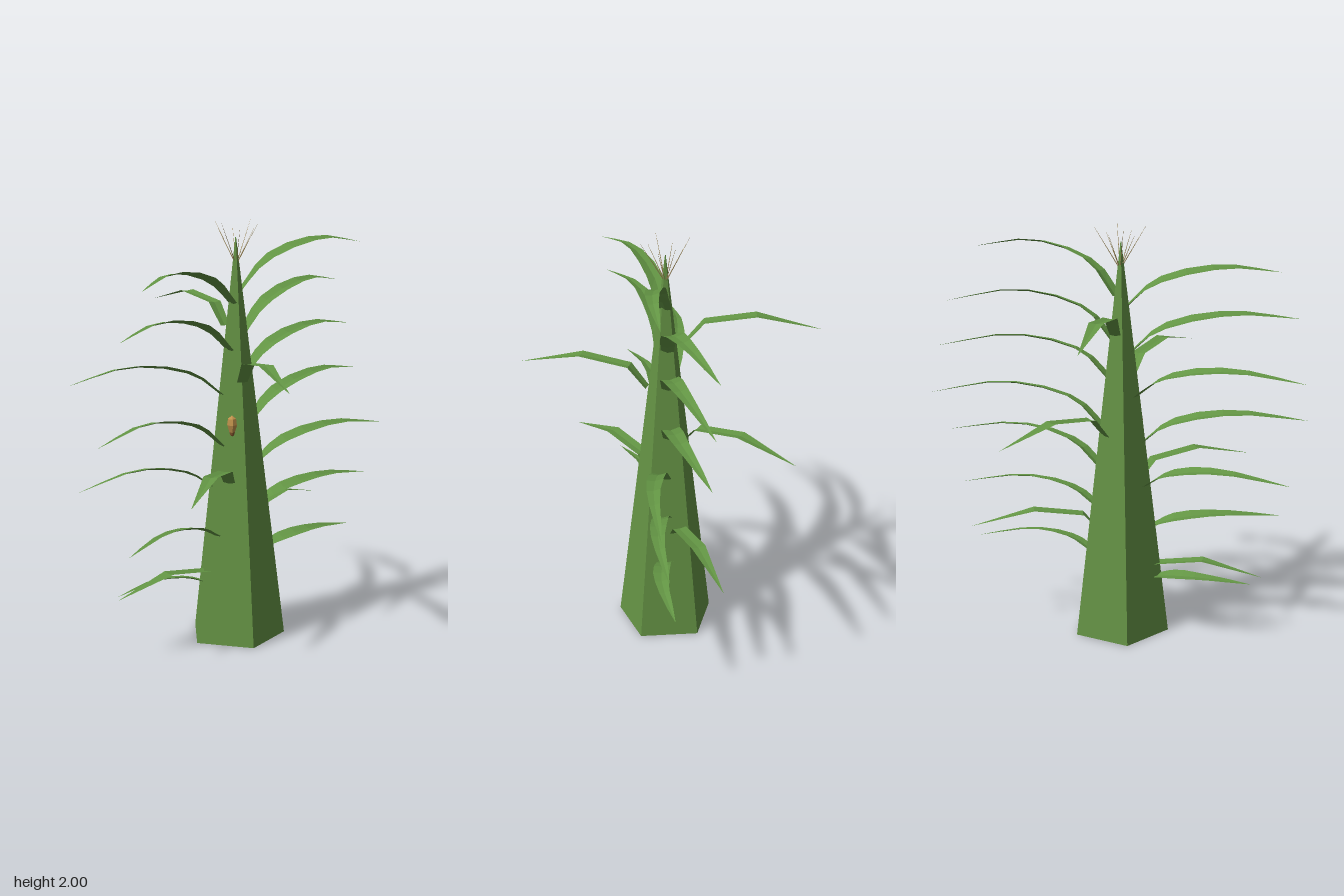
import * as THREE from 'three';

const CX = 0.02; // stalk axis

const mat = (name, color, side = THREE.FrontSide) => {
  const m = new THREE.MeshStandardMaterial({ color, side, flatShading: true });
  m.name = name;
  return m;
};

// Creased strip along a spine: half(t) is the half width, bank lifts the left edge
function bladeGeometry(spine, half, bank, fold) {
  const rows = spine.map((p, i) => {
    const a = spine[Math.max(0, i - 1)], b = spine[Math.min(spine.length - 1, i + 1)];
    const dir = b.clone().sub(a).normalize();
    const left = new THREE.Vector3(dir.z, 0, -dir.x).normalize();
    const up = dir.clone().cross(left).normalize();
    left.applyAxisAngle(dir, -bank);
    if (left.y < 0) left.y *= -1;
    const w = half(i / (spine.length - 1));
    const lift = up.multiplyScalar(w * fold);
    return [
      p.clone().addScaledVector(left, w).add(lift),
      p.clone(),
      p.clone().addScaledVector(left, -w).add(lift),
    ];
  });
  const pos = [];
  const tri = (...v) => v.forEach((q) => pos.push(q.x, q.y, q.z));
  for (let i = 0; i < rows.length - 1; i++) {
    const r = rows[i], s = rows[i + 1];
    for (let k = 0; k < 2; k++) {
      tri(r[k], r[k + 1], s[k + 1]);
      if (i < rows.length - 2 || k === 0 || k === 1) tri(r[k], s[k + 1], s[k]);
    }
  }
  const g = new THREE.BufferGeometry();
  g.setAttribute('position', new THREE.Float32BufferAttribute(pos, 3));
  g.computeVertexNormals();
  return g;
}

export function createModel() {
  const plant = new THREE.Group();
  plant.name = 'cornPlant';
  const stalkGreen = mat('stalk green', 0x649244);
  const leafGreen = mat('leaf green', 0x639544, THREE.DoubleSide);
  const huskTan = mat('husk tan', 0xc0924c);
  const silkBrown = mat('silk brown', 0x8a5a30);
  const tasselTan = mat('tassel tan', 0xa08a58);

  const add = (parent, name, geometry, material) => {
    const m = new THREE.Mesh(geometry, material);
    m.name = name;
    parent.add(m);
    return m;
  };

  // Five-sided tapering stalk
  add(plant, 'stalk', new THREE.CylinderGeometry(0.002, 0.238, 1.93, 5), stalkGreen)
    .position.set(CX, 0.965, 0.003);

  // Long arching leaves: [base z, base y, peak z, peak y, tip x, tip y, tip z]
  const arching = [
    [0.03, 1.62, 0.46, 1.80, 0.28, 1.76, 0.73],
    [0.05, 1.40, 0.50, 1.585, 0.25, 1.545, 0.83],
    [0.08, 1.19, 0.53, 1.36, -0.08, 1.315, 0.885],
    [0.10, 0.95, 0.53, 1.12, 0.15, 1.075, 0.885],
    [0.13, 0.75, 0.48, 0.87, -0.09, 0.82, 0.83],
    [0.14, 0.52, 0.46, 0.60, 0.20, 0.57, 0.76],
    [0.18, 0.29, 0.40, 0.325, -0.05, 0.30, 0.65],
    [-0.02, 1.67, -0.43, 1.905, 0.10, 1.87, -0.72],
    [-0.03, 1.45, -0.47, 1.695, -0.145, 1.655, -0.80],
    [-0.05, 1.27, -0.50, 1.475, -0.12, 1.43, -0.865],
    [-0.08, 1.03, -0.55, 1.24, -0.105, 1.20, -0.89],
    [-0.10, 0.83, -0.525, 0.995, 0.11, 0.95, -0.88],
    [-0.12, 0.63, -0.49, 0.735, 0.07, 0.695, -0.80],
    [-0.15, 0.40, -0.445, 0.465, 0.035, 0.43, -0.715],
  ];
  const leaves = new THREE.Group();
  leaves.name = 'archingLeaves';
  plant.add(leaves);
  for (const [bz, by, pz, py, tx, ty, tz] of arching) {
    const bow = -Math.sign(tz); // sideways bow, the same hand on both sides
    const at = (y, z, b) =>
      new THREE.Vector3(CX + (tx - CX) * (z / tz) + bow * b, y, z);
    const curve = new THREE.CatmullRomCurve3([
      at(by, bz, 0),
      at(by + (py - by) * 0.62, bz + (pz - bz) * 0.3, 0.03),
      at(py, pz, 0.045),
      at(ty, tz, 0),
    ]);
    const half = (t) => (t < 0.45 ? 0.03 + 0.03 * t : 0.0435 * Math.pow((1 - t) / 0.55, 0.75));
    add(leaves, 'archingLeaf', bladeGeometry(curve.getPoints(8), half, 0.2, 0.2), leafGreen);
  }

  // Short bent leaves with three straight sections: tip [x, y, z]
  const bentLeaves = new THREE.Group();
  bentLeaves.name = 'bentLeaves';
  plant.add(bentLeaves);
  for (const [tx, ty, tz] of [
    [-0.70, 1.565, -0.055], [0.69, 1.32, 0.25], [-0.54, 1.065, -0.45],
    [0.425, 0.81, 0.585], [0.02, 0.31, 0.70], [-0.185, 0.56, -0.69],
  ]) {
    const spine = [[0.13, -0.06], [0.25, 0.04], [0.58, 0.07], [1, 0]].map(
      ([f, dy]) => new THREE.Vector3(CX + (tx - CX) * f, ty + dy, tz * f));
    const half = (t) => [0.026, 0.034, 0.035, 0][Math.round(t * 3)];
    add(bentLeaves, 'bentLeaf', bladeGeometry(spine, half, 0, 0.15), leafGreen);
  }

  // Small ear on the front left face, silk at its lower end
  const ear = new THREE.Group();
  ear.name = 'ear';
  ear.position.set(0.082, 1.06, 0.075);
  plant.add(ear);
  const profile = (pts) => new THREE.LatheGeometry(pts.map(([r, y]) => new THREE.Vector2(r, y)), 6);
  add(ear, 'husk', profile([[0.014, -0.035], [0.025, 0], [0.02, 0.03], [0, 0.045]]), huskTan);
  add(ear, 'silk', profile([[0, -0.055], [0.009, -0.05], [0.014, -0.035]]), silkBrown);

  // Fine tassel threads fanning out at the tip
  const tassel = new THREE.Group();
  tassel.name = 'tassel';
  tassel.position.set(CX, 1.8, 0);
  plant.add(tassel);
  for (let i = 0; i < 8; i++) {
    const a = (i / 8) * Math.PI * 2 + 0.3;
    const r = i % 2 ? 0.085 : 0.12;
    const tip = new THREE.Vector3(Math.sin(a) * r, i % 2 ? 0.17 : 0.2, Math.cos(a) * r);
    const thread = add(tassel, 'tasselThread',
      new THREE.CylinderGeometry(0.0004, 0.0025, tip.length(), 4), tasselTan);
    thread.position.copy(tip).multiplyScalar(0.5);
    thread.quaternion.setFromUnitVectors(new THREE.Vector3(0, 1, 0), tip.clone().normalize());
  }
  return plant;
}
